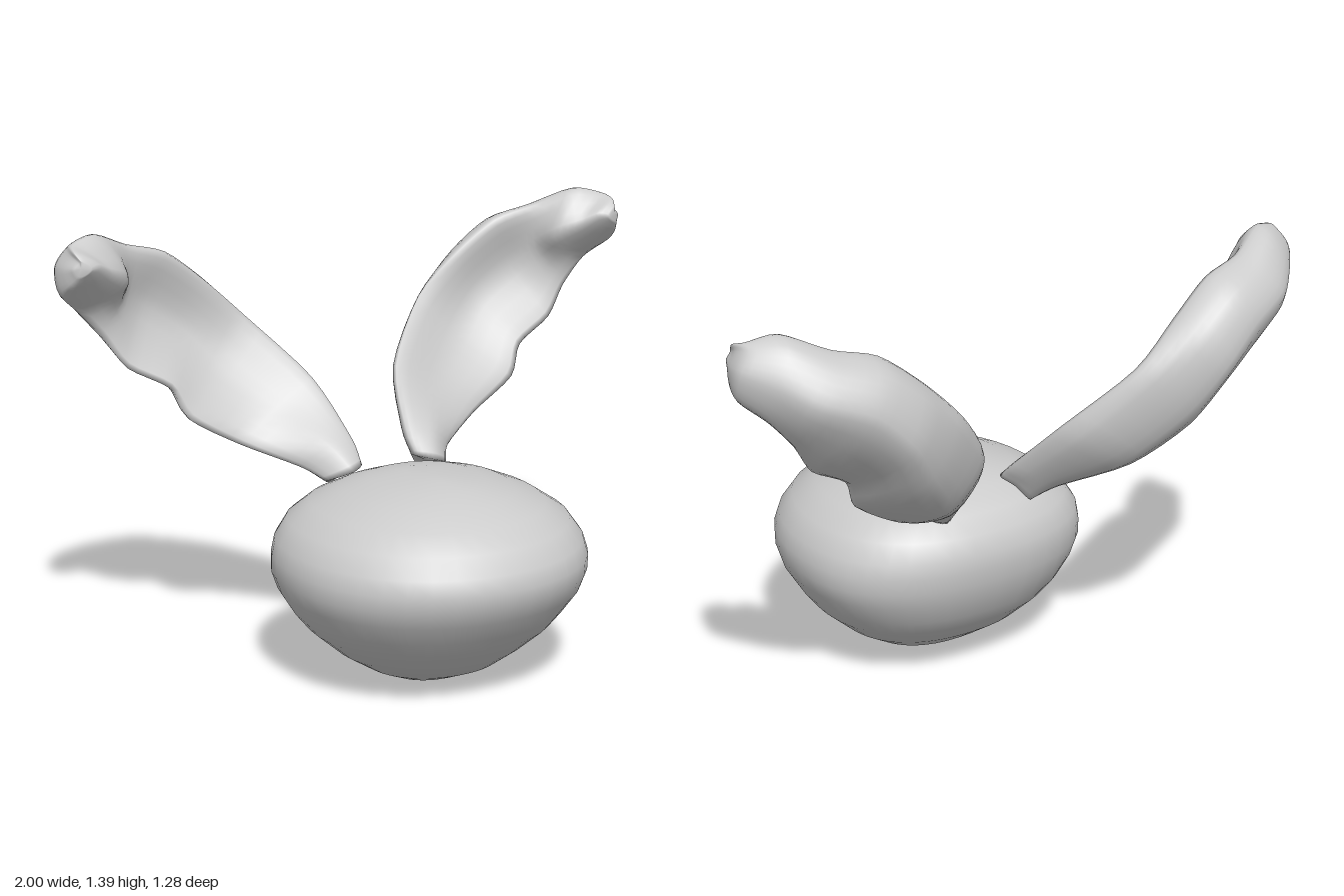
import * as THREE from 'three';

const material = new THREE.MeshStandardMaterial({ color: 0xcccccc });

// Skin closed rings of points into a smooth solid with capped ends.
function loft(rings, flip) {
  const n = rings[0].length, pos = [], idx = [];
  rings.forEach(r => r.forEach(p => pos.push(p.x, p.y, p.z)));
  const tri = (a, b, c) => flip ? idx.push(a, c, b) : idx.push(a, b, c);
  for (let s = 0; s < rings.length - 1; s++) {
    for (let i = 0; i < n; i++) {
      const a = s * n + i, b = s * n + (i + 1) % n;
      tri(a, a + n, b);
      tri(b, a + n, b + n);
    }
  }
  [0, rings.length - 1].forEach((s, end) => {
    const c = new THREE.Vector3();
    rings[s].forEach(p => c.addScaledVector(p, 1 / n));
    const k = pos.length / 3;
    pos.push(c.x, c.y, c.z);
    for (let i = 0; i < n; i++) {
      const a = s * n + i, b = s * n + (i + 1) % n;
      if (end) tri(k, b, a); else tri(k, a, b);
    }
  });
  const g = new THREE.BufferGeometry();
  g.setAttribute('position', new THREE.Float32BufferAttribute(pos, 3));
  g.setIndex(idx);
  g.computeVertexNormals();
  return g;
}

// Head levels: height, half width, front z, back z
const HEAD = [
  [0.003, 0.08, 0.2, 0.1], [0.015, 0.13, 0.26, 0.06], [0.055, 0.22, 0.35, -0.03],
  [0.11, 0.308, 0.42, -0.11], [0.18, 0.388, 0.5, -0.18], [0.235, 0.432, 0.545, -0.22],
  [0.305, 0.475, 0.6, -0.252], [0.36, 0.493, 0.625, -0.267], [0.41, 0.491, 0.635, -0.273],
  [0.46, 0.477, 0.62, -0.272], [0.52, 0.435, 0.58, -0.25], [0.57, 0.36, 0.51, -0.205],
  [0.61, 0.265, 0.42, -0.13], [0.635, 0.17, 0.33, -0.06], [0.65, 0.06, 0.24, 0.03],
];

function makeHead() {
  const rings = HEAD.map(([y, w, zf, zb]) => {
    const ring = [], mid = (zf + zb) / 2 - 0.1 * w * Math.min(1, y / 0.36);
    for (let i = 0; i < 40; i++) {
      const a = i / 40 * Math.PI * 2, s = Math.sin(a), c = Math.cos(a);
      // rounder toward the face, squarer at the back
      const pw = v => Math.sign(v) * Math.abs(v) ** (c > 0 ? 0.95 : 0.85);
      ring.push(new THREE.Vector3(w * pw(s), y, mid + (c > 0 ? zf - mid : mid - zb) * pw(c)));
    }
    return ring;
  });
  return loft(rings, true);
}

// Ear sections from root to folded tip: upper edge, back, lower edge, front
const EAR = [
  [[.1, .63, -.12], [.16, .565, -.2], [.215, .585, -.14], [.15, .62, -.08]],
  [[.1, .70, -.19], [.2, .63, -.28], [.27, .62, -.22], [.19, .69, -.17]],
  [[.155, .87, -.36], [.34, .735, -.46], [.43, .69, -.32], [.29, .79, -.34]],
  [[.32, 1.06, -.5], [.48, .88, -.575], [.59, .785, -.35], [.43, .92, -.45]],
  [[.465, 1.195, -.5], [.58, 1.03, -.635], [.64, .885, -.38], [.54, 1.04, -.5]],
  [[.6, 1.295, -.48], [.7, 1.15, -.63], [.77, .96, -.41], [.67, 1.13, -.5]],
  [[.735, 1.335, -.46], [.84, 1.21, -.58], [.84, 1.06, -.43], [.745, 1.19, -.46]],
  [[.86, 1.39, -.4], [.93, 1.27, -.5], [.92, 1.15, -.43], [.77, 1.24, -.38]],
  [[.95, 1.375, -.37], [.995, 1.3, -.42], [.985, 1.21, -.38], [.84, 1.28, -.33]],
  [[.965, 1.36, -.325], [.995, 1.3, -.36], [.98, 1.25, -.33], [.89, 1.31, -.3]],
  [[.955, 1.335, -.295], [.975, 1.31, -.305], [.96, 1.29, -.295], [.93, 1.31, -.285]],
];

function makeEar(side) {
  const sections = EAR.map(points => {
    const [upper, back, lower, front] = points.map(p => new THREE.Vector3(side * p[0], p[1], p[2]));
    // an extra corner behind the upper edge keeps the rim thick
    const rim = upper.clone().lerp(back, 0.2);
    rim.z = THREE.MathUtils.lerp(upper.z, back.z, 0.75);
    return [upper, rim, back, lower, front];
  });
  // Guide curves run along the ear; every ring passes through them.
  const guides = sections[0].map((_, k) =>
    new THREE.CatmullRomCurve3(sections.map(s => s[k]), false, 'catmullrom', 0.4));
  const rings = [];
  for (let i = 0; i <= 40; i++) {
    const section = new THREE.CatmullRomCurve3(guides.map(g => g.getPoint(i / 40)), true, 'centripetal');
    rings.push(section.getPoints(25).slice(0, 25));
  }
  return loft(rings, side < 0);
}

export function createModel() {
  const model = new THREE.Group();
  model.name = 'longEaredHead';
  const add = (name, geometry) => {
    const mesh = new THREE.Mesh(geometry, material);
    mesh.name = name;
    model.add(mesh);
  };
  add('head', makeHead());
  add('leftEar', makeEar(1));
  add('rightEar', makeEar(-1));
  return model;
}
